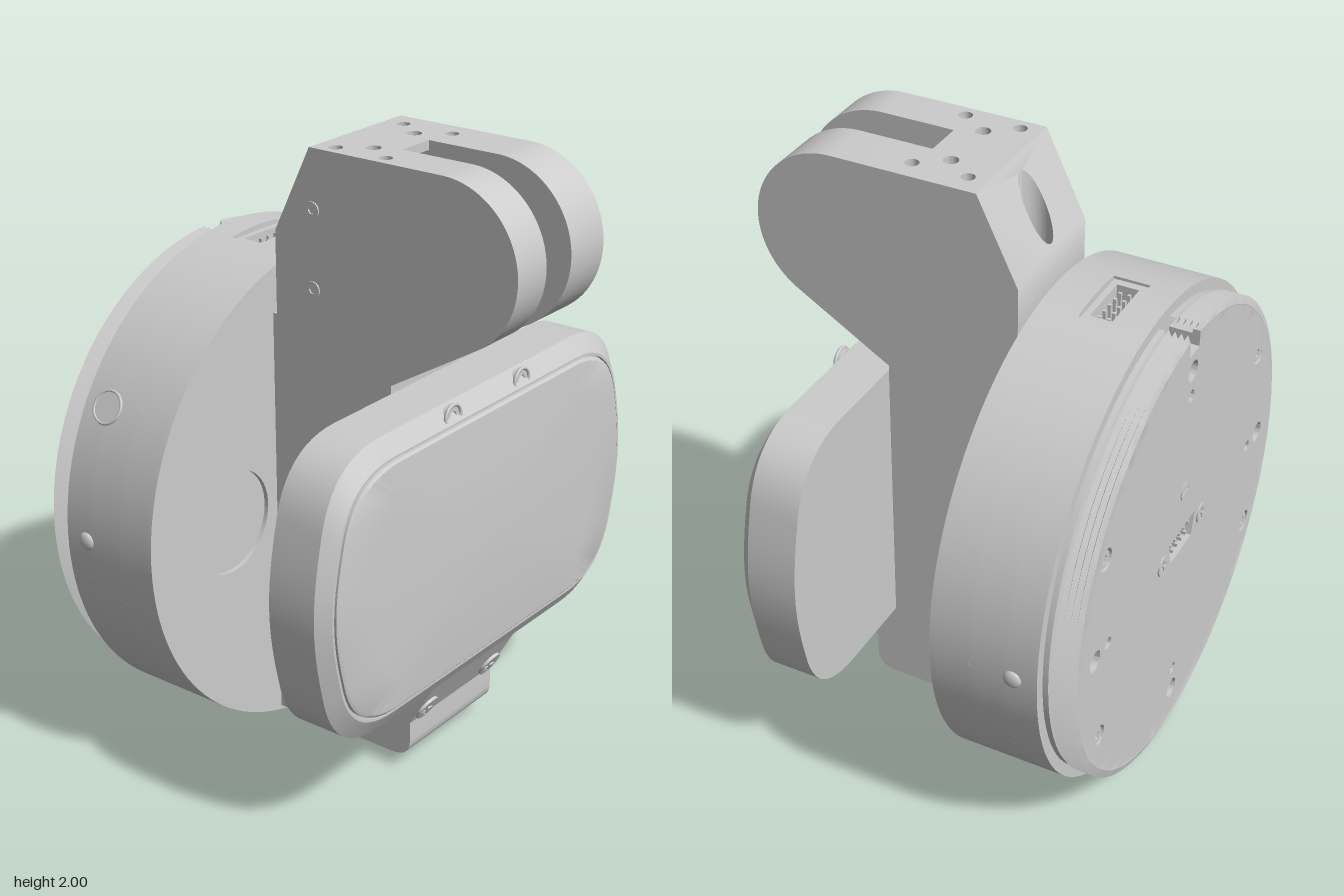
import * as THREE from 'three';
import { toCreasedNormals } from 'three/addons/utils/BufferGeometryUtils.js';

const CY = 0.815, R = 0.812; // drum centre height and radius
const grey = new THREE.MeshStandardMaterial({ color: 0xcccccc });
const greyDouble = new THREE.MeshStandardMaterial({ color: 0xcccccc, side: THREE.DoubleSide });

const V = (x, y) => new THREE.Vector2(x, y);
const poly = (pts) => pts.map(([x, y]) => V(x, y));
const rect = (w, h, x = 0, y = 0) => poly([[x - w, y - h], [x + w, y - h], [x + w, y + h], [x - w, y + h]]);
const circle = (x, y, r) => new THREE.Path().absarc(x, y, r, 0, Math.PI * 2, false);

function mesh(name, geo, parent, mat = grey) {
  const m = new THREE.Mesh(geo, mat);
  m.name = name;
  parent.add(m);
  return m;
}
function extrude(shape, depth, seg = 32) {
  return new THREE.ExtrudeGeometry(shape, { depth, bevelEnabled: false, curveSegments: seg });
}
const crease = (geo) => toCreasedNormals(geo, 0.5);

// Round outline, with an optional rectangular notch at the top
function round(r, w = 0, floor = 0) {
  const s = new THREE.Shape(), a = Math.asin(w / r);
  s.absarc(0, 0, r, Math.PI / 2 + a, Math.PI * 2.5 - a, false);
  if (w) { s.lineTo(w, floor); s.lineTo(-w, floor); }
  return s;
}
function slab(name, shape, z0, z1, parent) {
  const m = mesh(name, crease(extrude(shape, z1 - z0, 64)), parent);
  m.position.set(0, CY, z0);
  return m;
}
// Screw head with a hex, cross or slot recess
function screw(name, pos, dir, r, kind, parent) {
  const s = new THREE.Shape().absarc(0, 0, r, 0, Math.PI * 2, false);
  const a = r * 0.14, b = r * 0.65;
  let hole;
  if (kind === 'hex') hole = [...Array(6)].map((_, i) => V(r * 0.5 * Math.cos(i * Math.PI / 3), r * 0.5 * Math.sin(i * Math.PI / 3)));
  else if (kind === 'slot') hole = rect(r * 0.75, a);
  else hole = poly([[-a, -b], [a, -b], [a, -a], [b, -a], [b, a], [a, a], [a, b], [-a, b], [-a, a], [-b, a], [-b, -a], [-a, -a]]);
  s.holes.push(new THREE.Path(hole));
  const g = new THREE.Group();
  g.name = name;
  mesh('head', crease(extrude(s, 0.02, 12)), g);
  mesh('recessFloor', new THREE.CircleGeometry(r * 0.9, 20), g).position.z = 0.004;
  g.position.set(...pos);
  g.quaternion.setFromUnitVectors(new THREE.Vector3(0, 0, 1), new THREE.Vector3(...dir).normalize());
  parent.add(g);
}
// Loft of scaled outlines: each ring is [scaleX, scaleY, z]
function loft(outline, rings) {
  const n = outline.length, pos = [], idx = [];
  for (const [sx, sy, z] of rings) for (const p of outline) pos.push(p.x * sx, p.y * sy, z);
  for (let k = 0; k < rings.length - 1; k++) for (let i = 0; i < n; i++) {
    const a = k * n + i, b = k * n + (i + 1) % n;
    idx.push(a, b, b + n, a, b + n, a + n);
  }
  const g = new THREE.BufferGeometry();
  g.setAttribute('position', new THREE.Float32BufferAttribute(pos, 3));
  g.setIndex(idx);
  return g;
}

function buildDrum(root) {
  const drum = new THREE.Group();
  drum.name = 'drum';
  root.add(drum);
  // Body in slices: front face with shallow recesses, then the connector pocket
  const front = round(R);
  for (const x of [-0.44, 0.44]) front.holes.push(circle(x, 0, 0.17));
  slab('drumFront', front, -0.235, -0.22, drum);
  slab('drumBody', round(R), -0.35, -0.235, drum);
  slab('drumPocket', round(R, 0.125, 0.74), -0.47, -0.35, drum);
  slab('drumRear', round(R), -0.57, -0.47, drum);

  // Pin connector on top
  const frame = new THREE.Shape(rect(0.122, 0.057));
  frame.holes.push(new THREE.Path(rect(0.095, 0.036)));
  const f = mesh('topConnectorFrame', extrude(frame, 0.05), drum);
  f.rotation.x = -Math.PI / 2;
  f.position.set(0, CY + 0.745, -0.41);
  for (let i = 0; i < 5; i++) for (const z of [-0.425, -0.395])
    mesh('topConnectorPin', new THREE.BoxGeometry(0.01, 0.05, 0.01), drum).position.set((i - 2) * 0.036, CY + 0.76, z);

  // Side buttons and a round port on the rim
  for (const s of [-1, 1]) {
    const b = mesh('sideButton', new THREE.SphereGeometry(0.03, 20, 12), drum);
    b.scale.x = 0.5;
    b.position.set(s * 0.81, CY, -0.49);
  }
  const port = new THREE.Group();
  port.name = 'rimPort';
  mesh('portRim', new THREE.TorusGeometry(0.052, 0.005, 8, 28), port);
  mesh('portFloor', new THREE.CircleGeometry(0.05, 28), port).position.z = 0.002;
  port.position.set(-0.7, CY + 0.412, -0.48);
  port.lookAt(-1.4, CY + 0.824, -0.48);
  drum.add(port);

  // Threaded collar with a keyway at the top
  const prof = [V(0.70, -0.57), V(0.775, -0.57), V(0.775, -0.588), V(0.755, -0.592)];
  for (let i = 0; i < 4; i++) prof.push(V(0.782, -0.601 - i * 0.02), V(0.755, -0.611 - i * 0.02));
  prof.push(V(0.752, -0.67), V(0.70, -0.67));
  const gap = 0.05;
  const thread = new THREE.LatheGeometry(prof, 96, Math.PI + gap, Math.PI * 2 - 2 * gap);
  thread.rotateX(Math.PI / 2);
  mesh('thread', crease(thread), drum, greyDouble).position.y = CY;
  slab('collarCore', round(0.74, 0.038, 0.70), -0.645, -0.57, drum);

  // Back plate with bolt holes and a connector opening
  const back = round(0.754, 0.038, 0.70), c = [0, 1, 2, 3].map((i) => [Math.cos(i * Math.PI / 2), Math.sin(i * Math.PI / 2)]);
  for (const [x, y] of c) back.holes.push(circle(x * 0.635, y * 0.635, 0.035), circle(x * 0.545, y * 0.545, 0.02));
  for (const x of [-0.585, 0.585]) for (const y of [-0.345, 0.345]) {
    back.holes.push(circle(x, y, 0.038));
    screw('backBolt', [x, CY + y, -0.645], [0, 0, -1], 0.03, 'hex', drum);
  }
  back.holes.push(new THREE.Path(poly([[-0.1, 0.042], [0.1, 0.042], [0.08, -0.042], [-0.08, -0.042]])));
  slab('backPlate', back, -0.67, -0.645, drum);
  for (let i = 0; i < 9; i++)
    mesh('backConnectorPin', new THREE.BoxGeometry(0.009, 0.012, 0.022), drum)
      .position.set((i - 4) * 0.017, CY + (i % 2 ? -0.015 : 0.015), -0.653);
  for (const x of [-0.15, 0.15]) screw('connectorScrew', [x, CY, -0.655], [0, 0, -1], 0.034, 'cross', drum);
  screw('backSlotScrew', [0, CY + 0.19, -0.653], [0, 0, -1], 0.032, 'slot', drum);
}

function buildBracket(root) {
  const bracket = new THREE.Group();
  bracket.name = 'bracket';
  root.add(bracket);
  // Side profile in (z, y), shared by the two cheeks and the slotted middle
  const profile = (slotted) => {
    const s = new THREE.Shape(poly([[0.235, 1.32], [0.24, 0.36], [0.417, 0.36], [0.315, 0.18], [0.315, 0.115]]));
    s.quadraticCurveTo(0.315, 0.05, 0.24, 0.05);
    for (const p of [[-0.23, 0.05], [-0.23, 1.45], [-0.205, 1.45], [-0.205, 1.6], [-0.07, 1.6], [-0.07, 1.97]]) s.lineTo(...p);
    if (slotted) s.absarc(0.41, 1.735, 0.36, 2.431, 4.517, false);
    else {
      s.lineTo(0.25, 1.97);
      s.lineTo(0.25, 2);
      s.absarc(0.41, 1.735, 0.265, Math.PI / 2, -1.03, true);
    }
    return s;
  };
  for (const [name, x0, x1, slot] of [['rightCheek', -0.225, -0.08, false], ['slotBlock', -0.08, 0.05, true], ['leftCheek', 0.05, 0.225, false]]) {
    const g = extrude(profile(slot), x1 - x0);
    g.rotateY(-Math.PI / 2).translate(x1, 0, 0);
    mesh(name, crease(g), bracket);
  }
  // Top cap with small holes
  const cap = new THREE.Shape(poly([[-0.225, 0.07], [-0.225, -0.25], [-0.08, -0.25], [-0.08, -0.165], [0.05, -0.165], [0.05, -0.25], [0.225, -0.25], [0.225, 0.07]]));
  for (const x of [-0.18, 0.15]) for (const z of [-0.005, 0.178]) cap.holes.push(circle(x, -z, 0.022));
  for (const x of [-0.115, 0.085]) cap.holes.push(circle(x, -0.085, 0.024));
  const capGeo = extrude(cap, 0.03, 12);
  capGeo.rotateX(-Math.PI / 2).translate(0, 1.97, 0);
  mesh('topCap', crease(capGeo), bracket);
  // Sloped rear shoulder with a vertical counterbore
  const wedge = new THREE.Shape(rect(0.225, 0.0675, 0, 0.1375));
  wedge.holes.push(circle(-0.015, 0.141, 0.052));
  const wg = extrude(wedge, 1, 20);
  wg.rotateX(-Math.PI / 2);
  const p = wg.attributes.position;
  for (let i = 0; i < p.count; i++) p.setY(i, p.getY(i) > 0.5 ? 2 + (p.getZ(i) + 0.07) * 2.074 : 1.6);
  wg.computeVertexNormals();
  mesh('rearShoulder', crease(wg), bracket);
  screw('shoulderBolt', [-0.015, 1.61, -0.141], [0, 1, 0], 0.042, 'hex', bracket);
  // Side and lower fixings
  for (const y of [1.56, 1.81]) screw('sideFixing', [-0.21, y, -0.06], [-1, 0, 0], 0.026, 'hex', bracket);
  for (const x of [-0.178, 0.17]) screw('lowerScrew', [x, 0.235, 0.334], [0, -0.49, 0.87], 0.046, 'cross', bracket);
}

function buildPod(root) {
  const pod = new THREE.Group();
  pod.name = 'frontPod';
  root.add(pod);
  // One quarter outline mirrored into a bowed rounded rectangle
  const q = new THREE.Path().moveTo(0.81, 0);
  q.bezierCurveTo(0.81, 0.08, 0.797, 0.16, 0.775, 0.25);
  q.bezierCurveTo(0.745, 0.4, 0.66, 0.48, 0.5, 0.48);
  q.lineTo(0, 0.48);
  const quarter = q.getPoints(12);
  const half = [...quarter, ...quarter.slice(0, -1).reverse().map((v) => V(-v.x, v.y))];
  const outline = [...half, ...half.slice(1, -1).reverse().map((v) => V(v.x, -v.y))];
  const shell = loft(outline, [[0, 0, 0.24], [1, 1, 0.24], [1, 1, 0.405], [0.955, 0.88, 0.443], [0.945, 0.865, 0.443], [0.945, 0.865, 0.43], [0, 0, 0.43]]);
  mesh('podHousing', crease(shell), pod);
  // Slightly domed front plate
  const rings = [[0.938, 0.855, 0.425], [0.938, 0.855, 0.446], [0.925, 0.84, 0.452]];
  for (let i = 1; i <= 5; i++) {
    const k = 1 - i / 5;
    rings.push([0.925 * k, 0.84 * k, 0.452 + 0.016 * (1 - k * k)]);
  }
  mesh('podFrontPlate', crease(loft(outline, rings)), pod);
  pod.position.y = 0.817;
  // Upper screws in round bosses
  for (const x of [-0.182, 0.182]) {
    const boss = mesh('screwBoss', new THREE.TorusGeometry(0.038, 0.006, 8, 28), pod);
    boss.position.set(x, 0.44, 0.432);
    screw('upperScrew', [x, 0.44, 0.412], [0, 0, 1], 0.036, 'hex', pod);
  }
}

export function createModel() {
  const root = new THREE.Group();
  root.name = 'mountedDevice';
  buildDrum(root);
  buildBracket(root);
  buildPod(root);
  return root;
}
